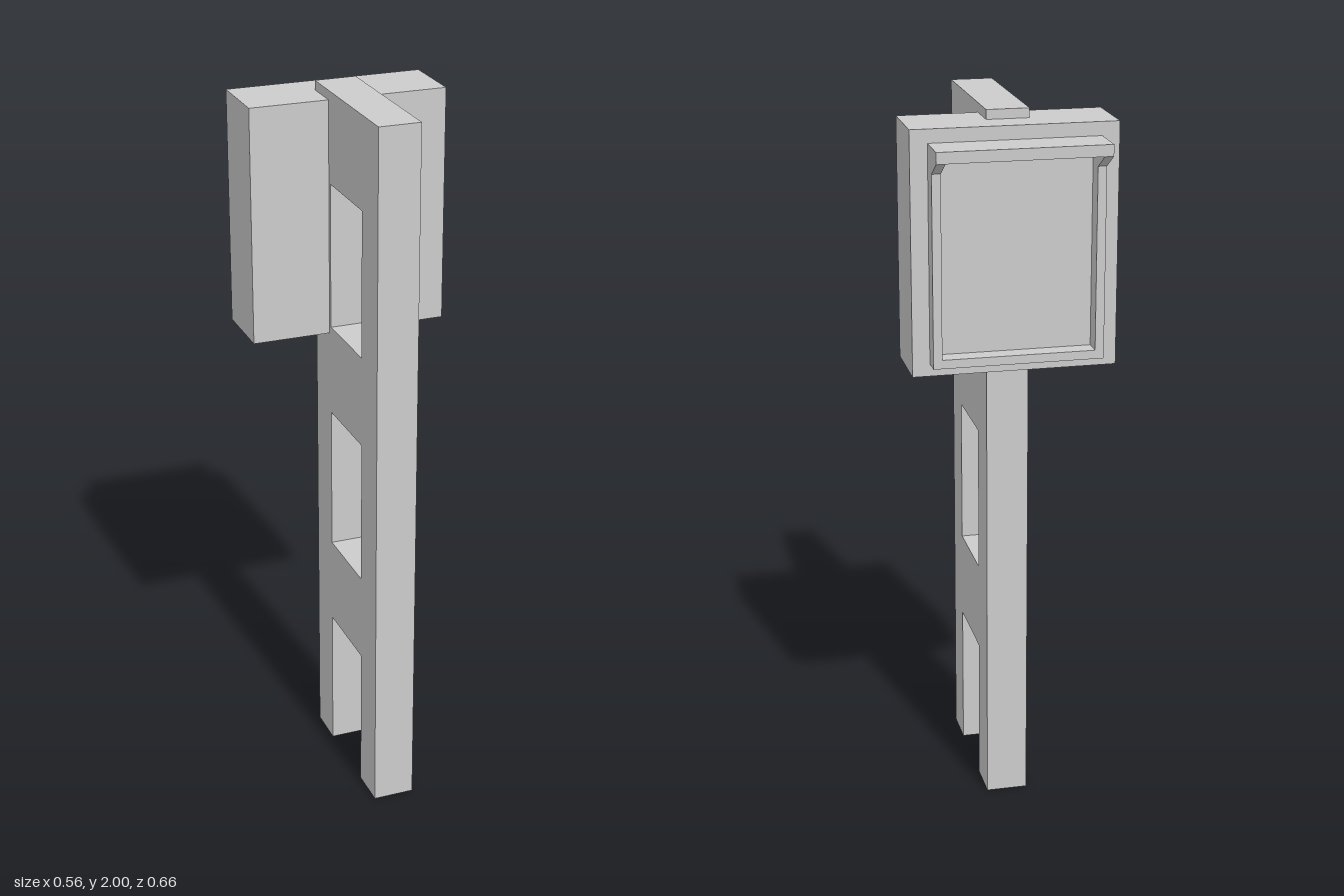
import * as THREE from 'three';

const material = new THREE.MeshStandardMaterial({ color: 0xcccccc, flatShading: true, side: THREE.DoubleSide });

function add(group, name, geometry) {
  const mesh = new THREE.Mesh(geometry, material);
  mesh.name = name;
  group.add(mesh);
  return mesh;
}

// Box given by its limits on each axis
function box(x0, x1, y0, y1, z0, z1) {
  return new THREE.BoxGeometry(x1 - x0, y1 - y0, z1 - z0)
    .translate((x0 + x1) / 2, (y0 + y1) / 2, (z0 + z1) / 2);
}

// Extrude a side profile, drawn as [z, y] points, from x0 to x1
function sideExtrude(points, holes, x0, x1) {
  const toVec = ([z, y]) => new THREE.Vector2(-z, y);
  const shape = new THREE.Shape(points.map(toVec));
  for (const h of holes) shape.holes.push(new THREE.Path(h.map(toVec)));
  return new THREE.ExtrudeGeometry(shape, { depth: x1 - x0, bevelEnabled: false })
    .rotateY(Math.PI / 2)
    .translate(x0, 0, 0);
}

// Drop the faces lying on the ground, leaving the feet open
function openBottom(geometry) {
  const p = geometry.attributes.position;
  const kept = [];
  for (let i = 0; i < p.count; i += 3) {
    if (Math.max(p.getY(i), p.getY(i + 1), p.getY(i + 2)) > 1e-4) kept.push(i, i + 1, i + 2);
  }
  geometry.setIndex(kept);
  return geometry;
}

export function createModel() {
  const model = new THREE.Group();
  model.name = 'signalPost';

  // Ladder-like post: two legs joined by three webs
  const front = 0.331, back = -0.128, inFront = 0.218, inBack = -0.014;
  const outline = [
    [front, 0], [front, 2], [back, 2], [back, 0],
    [inBack, 0], [inBack, 0.416], [inFront, 0.416], [inFront, 0],
  ];
  const windows = [[0.665, 1.078], [1.335, 1.746]].map(([y0, y1]) => [
    [inFront, y0], [inBack, y0], [inBack, y1], [inFront, y1],
  ]);
  add(model, 'post', openBottom(sideExtrude(outline, windows, -0.058, 0.058)));

  // Cabinet
  const face = -0.218;
  add(model, 'cabinet', box(-0.278, 0.278, 1.314, 1.974, face, -0.025));

  // Raised frame with a hood on the cabinet's rear face
  const hood = new THREE.Group();
  hood.name = 'hoodedFrame';
  model.add(hood);
  const w = 0.231, t = 0.024, rim = -0.269, lip = -0.333;
  const y0 = 1.348, yLip = 1.906, y1 = 1.937;
  const cheek = [[face, y0], [rim, y0], [rim, 1.868], [lip, yLip], [lip, y1], [face, y1]];
  add(hood, 'leftCheek', sideExtrude(cheek, [], w - t, w));
  add(hood, 'rightCheek', sideExtrude(cheek, [], -w, t - w));
  add(hood, 'sill', box(t - w, w - t, y0, y0 + t, rim, face));
  add(hood, 'visor', box(t - w, w - t, yLip, y1, lip, face));

  return model;
}
